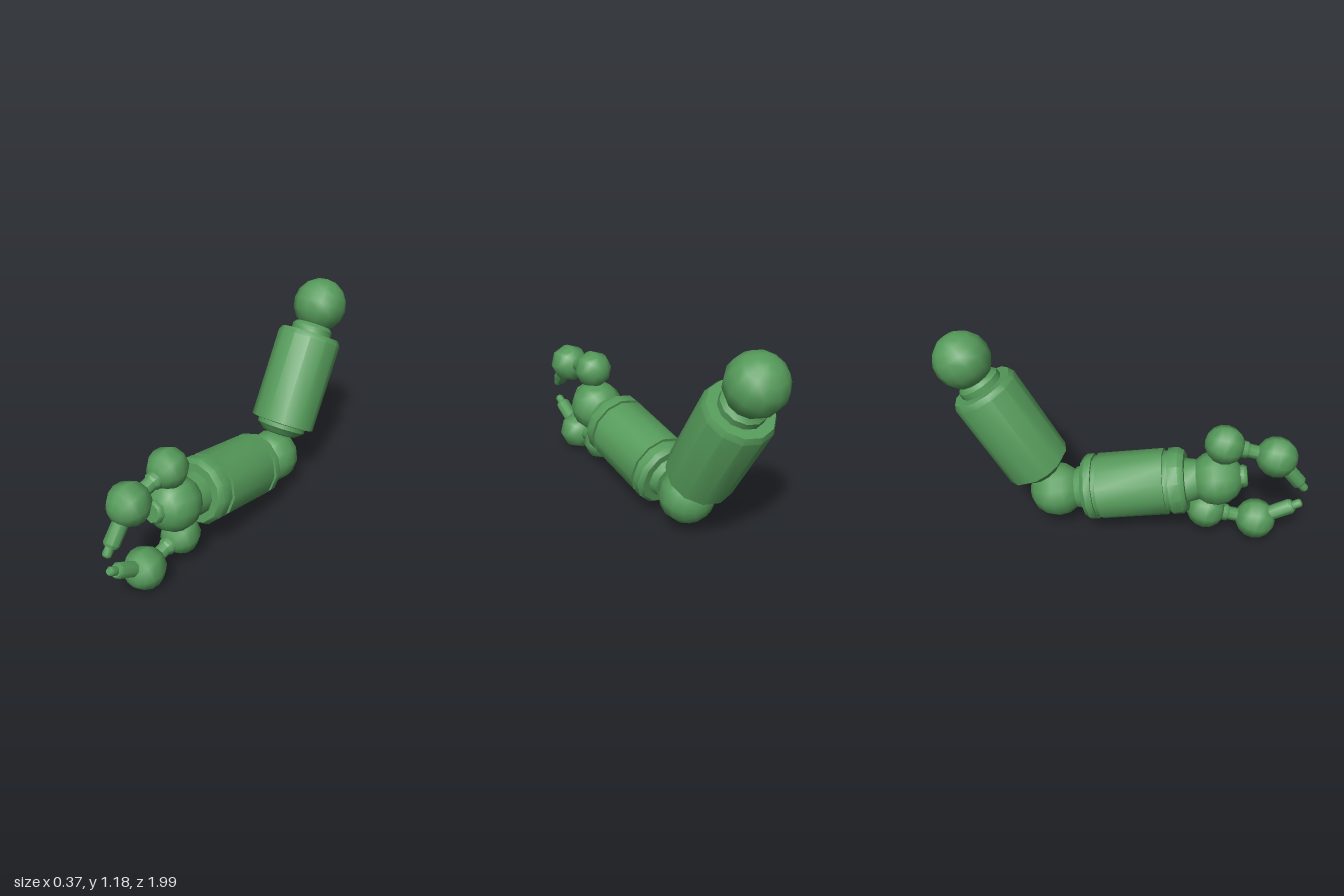
import * as THREE from 'three';
import { toCreasedNormals } from 'three/addons/utils/BufferGeometryUtils.js';

const green = new THREE.MeshStandardMaterial({ color: 0x559a5a });

// Joint positions as [y, z]
const shoulder = [1.03, -0.842], elbow = [0.227, -0.382], wrist = [0.382, 0.5];

// Angle that turns the y axis from one joint towards another
const angle = (from, to) => Math.atan2(to[1] - from[1], to[0] - from[0]);

function place(mesh, name, at, tilt) {
  mesh.name = name;
  mesh.position.set(0, at[0], at[1]);
  mesh.rotation.x = tilt;
  return mesh;
}

// Ball joint with its poles along the limb
function ball(name, at, radius, tilt, sides) {
  return place(new THREE.Mesh(new THREE.SphereGeometry(radius, sides, 8), green), name, at, tilt);
}

// Turned part: profile of [radius, distance along the limb]
function turned(name, at, tilt, profile, sides) {
  const points = profile.map(([r, t]) => new THREE.Vector2(r, t));
  const crease = Math.PI * 2 / sides + 0.1;
  const geometry = toCreasedNormals(new THREE.LatheGeometry(points, sides), crease);
  return place(new THREE.Mesh(geometry, green), name, at, tilt);
}

// Finger: knuckle, link, middle joint and stepped tip
function finger(name, knuckle, middle, tip) {
  const group = new THREE.Group();
  group.name = name;
  const linkTilt = angle(knuckle, middle), tipTilt = angle(middle, tip);
  const link = Math.hypot(middle[0] - knuckle[0], middle[1] - knuckle[1]);
  const reach = Math.hypot(tip[0] - middle[0], tip[1] - middle[1]);
  group.add(
    ball('knuckle', knuckle, 0.108, linkTilt, 8),
    turned('fingerLink', knuckle, linkTilt,
      [[0, 0.06], [0.047, 0.06], [0.047, 0.12], [0.038, 0.13], [0.038, link], [0, link]], 8),
    ball('middleJoint', middle, 0.112, linkTilt, 8),
    turned('fingertip', middle, tipTilt,
      [[0, 0], [0.042, 0], [0.042, reach - 0.065], [0.033, reach - 0.05], [0.024, reach - 0.05],
        [0.024, reach - 0.01], [0.016, reach], [0, reach]], 8)
  );
  return group;
}

export function createModel() {
  const model = new THREE.Group();
  model.name = 'mechanicalArm';
  const upperTilt = angle(elbow, shoulder), foreTilt = angle(elbow, wrist);

  // Main joints
  model.add(
    ball('shoulderJoint', shoulder, 0.153, upperTilt, 12),
    ball('elbowJoint', elbow, 0.153, foreTilt, 12),
    ball('wristJoint', wrist, 0.15, foreTilt, 12)
  );

  // Upper arm with a collar at each end
  model.add(turned('upperArm', elbow, upperTilt, [
    [0, 0.12], [0.1, 0.14], [0.115, 0.155], [0.142, 0.175], [0.142, 0.2],
    [0.185, 0.205], [0.185, 0.72], [0.17, 0.75],
    [0.118, 0.75], [0.118, 0.785], [0.1, 0.805], [0, 0.805]
  ], 12));

  // Forearm with grooved end rings and necks
  model.add(turned('forearm', elbow, foreTilt, [
    [0, 0.1], [0.115, 0.12], [0.125, 0.165], [0.165, 0.165], [0.185, 0.19], [0.185, 0.228],
    [0.17, 0.228], [0.17, 0.252], [0.185, 0.252], [0.185, 0.622],
    [0.17, 0.622], [0.17, 0.65], [0.185, 0.65], [0.185, 0.705], [0.165, 0.735],
    [0.122, 0.735], [0.11, 0.8], [0, 0.8]
  ], 12));

  // Short stub on the front of the wrist
  model.add(turned('palmStub', wrist, foreTilt,
    [[0, 0.1], [0.062, 0.1], [0.062, 0.155], [0.052, 0.17], [0, 0.17]], 8));

  // Opposed fingers of the gripper
  model.add(
    finger('upperFinger', [0.607, 0.532], [0.55, 0.81], [0.345, 0.985]),
    finger('lowerFinger', [0.163, 0.457], [0.117, 0.735], [0.254, 0.976])
  );
  return model;
}
